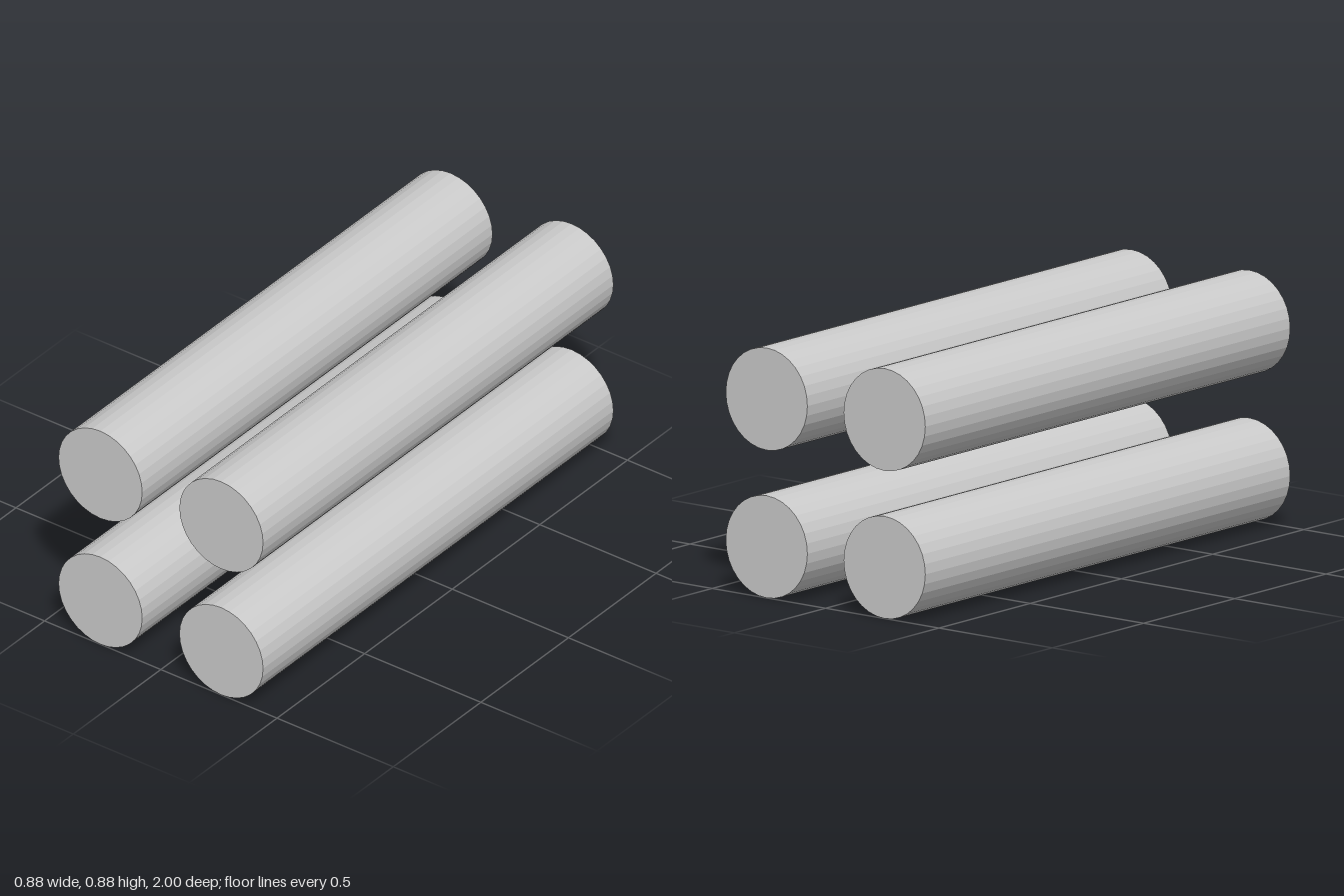
import * as THREE from 'three';

export function createModel() {
  const group = new THREE.Group();
  const material = new THREE.MeshStandardMaterial({ color: 0xcccccc, flatShading: true });

  // One solid rod lying along z, shared by all four
  const radius = 0.18;
  const rod = new THREE.CylinderGeometry(radius, radius, 2, 32).rotateX(Math.PI / 2);

  // Two by two stack of parallel rods
  for (const [level, y] of [['lower', 0.18], ['upper', 0.7]]) {
    for (const [side, x] of [['Left', 0.26], ['Right', -0.26]]) {
      const mesh = new THREE.Mesh(rod, material);
      mesh.name = `${level}${side}Rod`;
      mesh.position.set(x, y, 0);
      group.add(mesh);
    }
  }
  return group;
}
